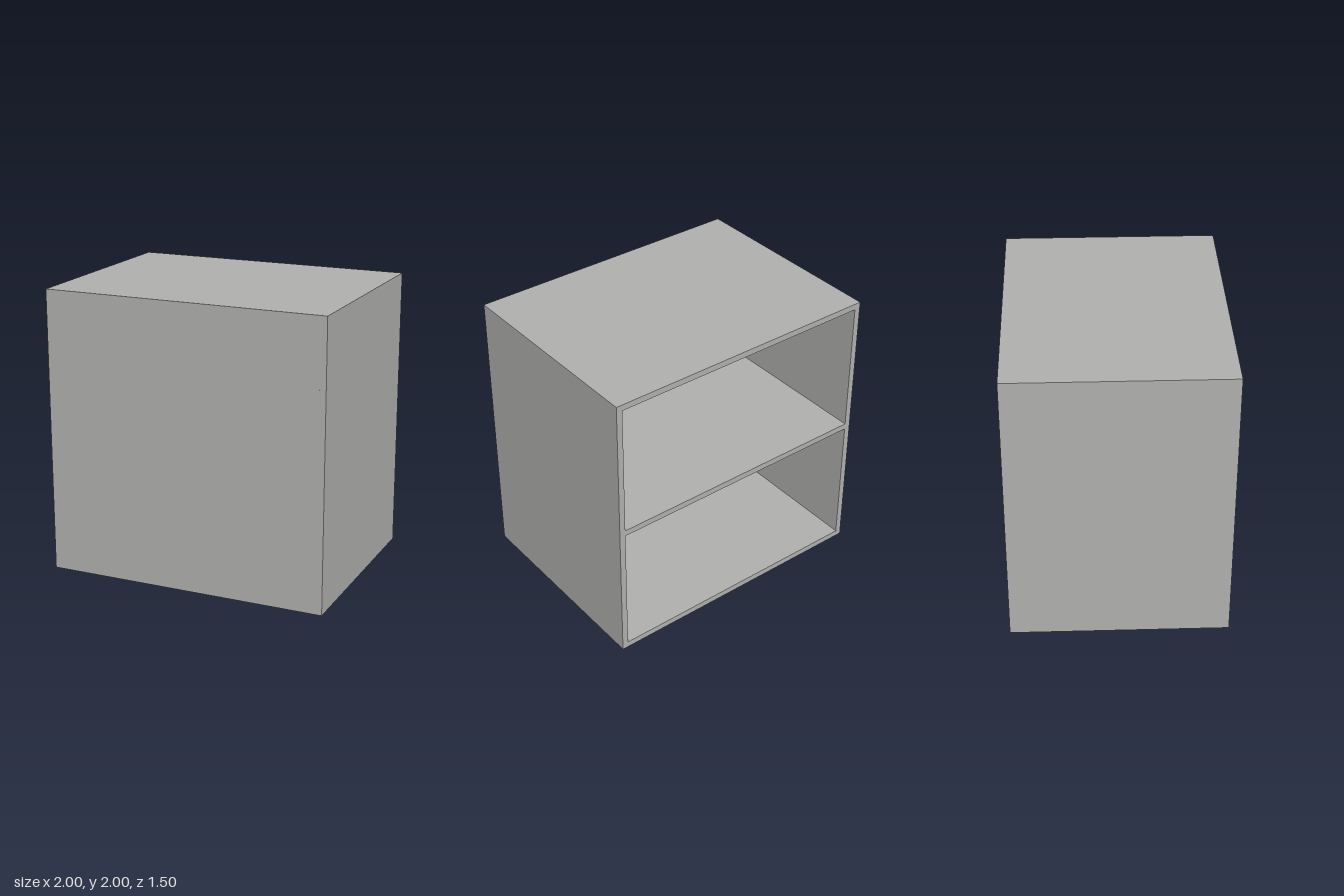
import * as THREE from 'three';

export function createModel() {
  const model = new THREE.Group();
  model.name = 'openCabinet';
  const grey = new THREE.MeshStandardMaterial({ color: 0xb0b0ae });
  grey.name = 'grey';

  const W = 2, H = 2, D = 1.5; // overall size
  const T = 0.043;             // board thickness
  const P = 0.008;             // thin front panel

  const board = (name, w, h, d, x, y, z) => {
    const mesh = new THREE.Mesh(new THREE.BoxGeometry(w, h, d), grey);
    mesh.name = name;
    mesh.position.set(x, y, z);
    model.add(mesh);
  };

  // Side walls, full height and depth
  for (const [name, s] of [['leftSide', 1], ['rightSide', -1]]) {
    board(name, T, H, D, s * (W - T) / 2, H / 2, 0);
  }

  // Horizontal boards fitted between the sides
  for (const [name, y] of [['bottom', T / 2], ['shelf', H / 2], ['top', H - T / 2]]) {
    board(name, W - 2 * T, T, D, 0, y, 0);
  }

  // Thin panels closing the front of each compartment; the back stays open
  const gap = (H - 3 * T) / 2;
  for (const [name, s] of [['lowerFrontPanel', -1], ['upperFrontPanel', 1]]) {
    board(name, W - 2 * T, gap, P, 0, H / 2 + s * (T + gap) / 2, (D - P) / 2);
  }

  return model;
}
